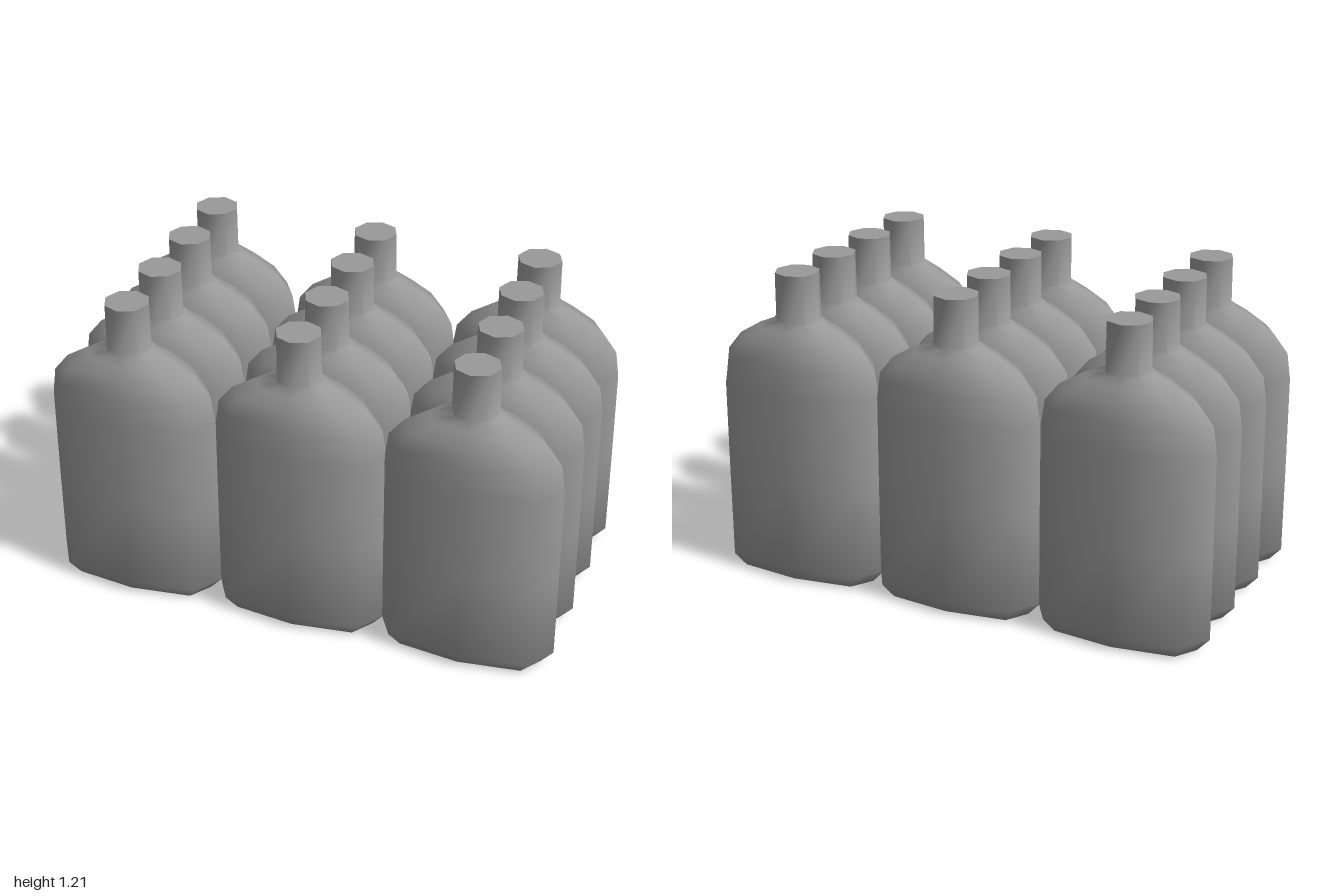
import * as THREE from 'three';
import { toCreasedNormals } from 'three/addons/utils/BufferGeometryUtils.js';

const SIDES = 8;

// Bottle rings from base to mouth: [height, half width, half depth, roundness of section]
const RINGS = [
  [0, 0.288, 0.112, 0],
  [0.05, 0.334, 0.142, 0],
  [0.4, 0.334, 0.142, 0],
  [0.76, 0.332, 0.142, 0],
  [0.86, 0.317, 0.136, 0.1],
  [0.93, 0.26, 0.124, 0.3],
  [0.985, 0.17, 0.101, 0.7],
  [1.02, 0.087, 0.084, 1],
  [1.205, 0.085, 0.084, 1],
];

// Eight-sided flask: pointed flat section in the body, regular octagon at the neck
function bottleGeometry() {
  const positions = [];
  const index = [];
  for (const [y, a, b, round] of RINGS) {
    const cornerX = THREE.MathUtils.lerp(0.81, Math.SQRT1_2, round);
    const cornerZ = THREE.MathUtils.lerp(0.74, Math.SQRT1_2, round);
    for (let i = 0; i < SIDES; i++) {
      const t = (i / SIDES) * Math.PI * 2;
      const corner = i % 2 === 1;
      const x = corner ? Math.sign(Math.cos(t)) * cornerX : Math.cos(t);
      const z = corner ? Math.sign(Math.sin(t)) * cornerZ : Math.sin(t);
      positions.push(a * x, y, b * z);
    }
  }
  // Walls
  for (let r = 0; r < RINGS.length - 1; r++) {
    for (let i = 0; i < SIDES; i++) {
      const j = (i + 1) % SIDES;
      const lo = r * SIDES, hi = lo + SIDES;
      index.push(lo + i, hi + i, lo + j, lo + j, hi + i, hi + j);
    }
  }
  // Base and mouth caps
  const base = positions.length / 3;
  const mouth = base + 1;
  const last = (RINGS.length - 1) * SIDES;
  positions.push(0, 0, 0, 0, RINGS[RINGS.length - 1][0], 0);
  for (let i = 0; i < SIDES; i++) {
    const j = (i + 1) % SIDES;
    index.push(base, i, j, mouth, last + j, last + i);
  }
  const geometry = new THREE.BufferGeometry();
  geometry.setAttribute('position', new THREE.Float32BufferAttribute(positions, 3));
  geometry.setIndex(index);
  return toCreasedNormals(geometry, 1.2);
}

export function createModel() {
  const group = new THREE.Group();
  group.name = 'bottles';
  const material = new THREE.MeshStandardMaterial({ color: 0x999999 });
  const geometry = bottleGeometry();

  // Four rows of three bottles, each row slightly shifted sideways: [z, shift]
  const columns = [-0.661, 0.004, 0.66];
  const rows = [[-0.422, -0.005], [-0.145, 0], [0.138, 0.004], [0.423, 0.004]];
  rows.forEach(([z, shift], r) => {
    columns.forEach((x, c) => {
      const bottle = new THREE.Mesh(geometry, material);
      bottle.name = `bottleRow${r + 1}Column${c + 1}`;
      bottle.position.set(x + shift, 0, z);
      group.add(bottle);
    });
  });
  return group;
}
